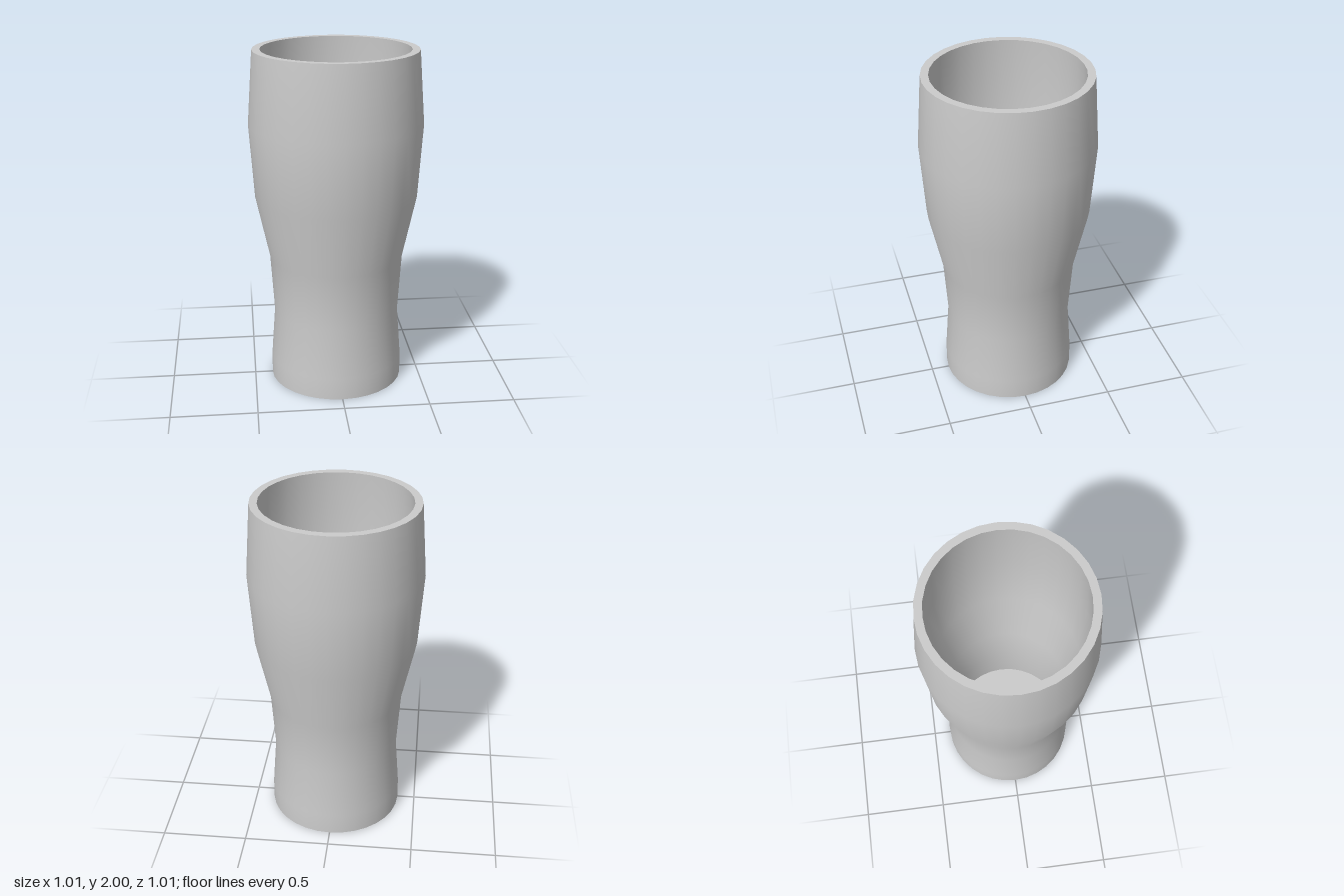
import * as THREE from 'three';

const SIDES = 32;

export function createModel() {
  const glass = new THREE.Group();
  glass.name = 'drinkingGlass';
  const material = new THREE.MeshStandardMaterial({ color: 0xcccccc });

  // Each surface is lathed separately so the rim and base edges stay sharp.
  const addLathe = (name, points) => {
    const profile = points.map(([r, y]) => new THREE.Vector2(r, y));
    const mesh = new THREE.Mesh(new THREE.LatheGeometry(profile, SIDES), material);
    mesh.name = name;
    glass.add(mesh);
  };

  // Waisted outer profile, bottom to top: [radius, height]
  const outer = [
    [0.394, 0], [0.394, 0.13], [0.372, 0.43], [0.394, 0.77],
    [0.474, 1.14], [0.504, 1.575], [0.474, 2],
  ];
  // The inside follows the outside at nine tenths of its radius, above a thick floor.
  const inner = outer.slice(1).map(([r, y]) => [r * 0.905, y]).reverse();
  const [floorRadius, floorHeight] = inner[inner.length - 1];

  addLathe('outerWall', outer);
  addLathe('rim', [outer[outer.length - 1], inner[0]]);
  addLathe('innerWall', inner);
  addLathe('innerFloor', [[floorRadius, floorHeight], [0, floorHeight]]);
  addLathe('base', [[0, 0], outer[0]]);

  return glass;
}
